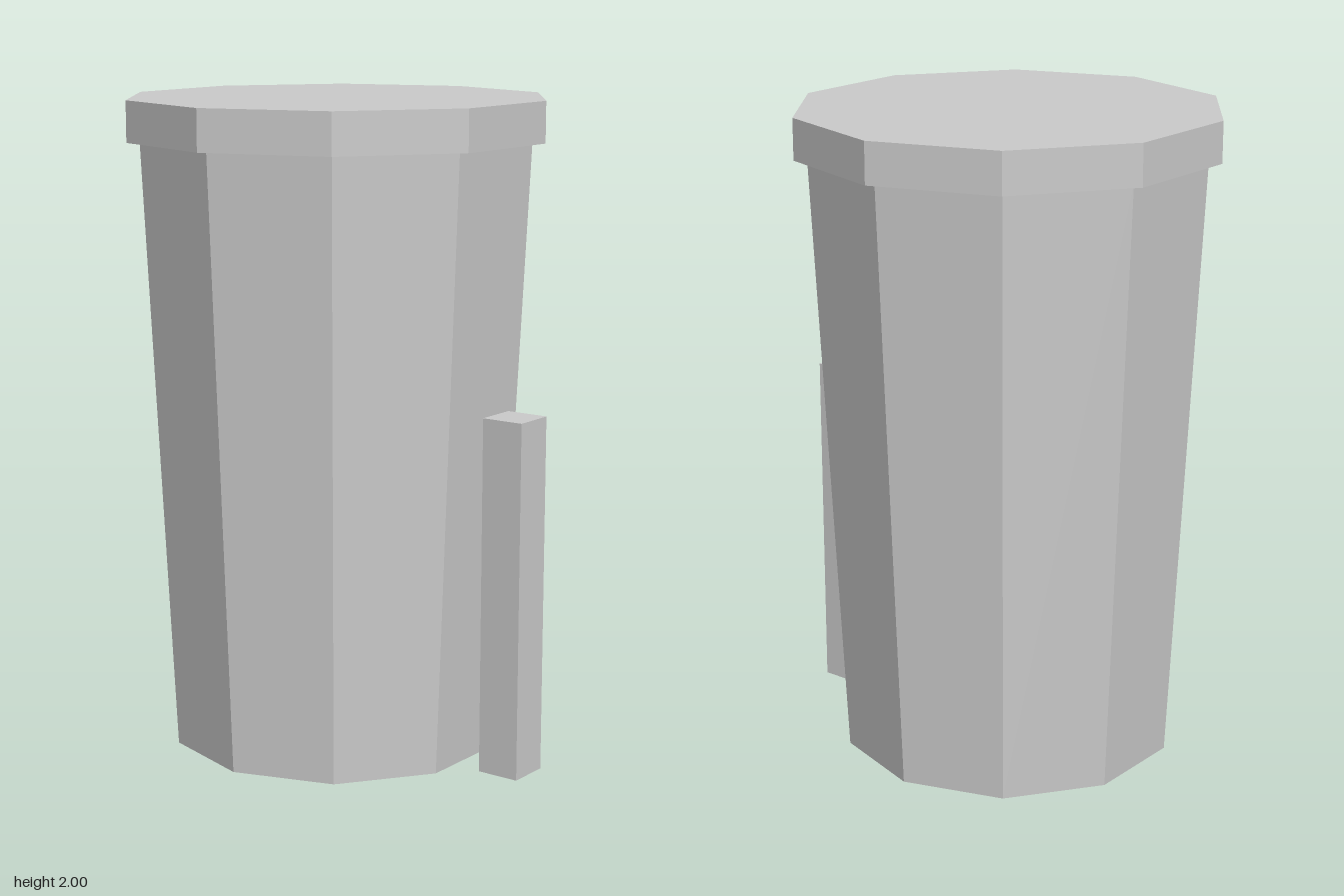
import * as THREE from 'three';

const SIDES = 10;
const CENTER_Z = -0.05;

export function createModel() {
  const group = new THREE.Group();
  const material = new THREE.MeshStandardMaterial({ color: 0xcccccc, flatShading: true });

  const add = (name, geometry, y, z) => {
    const mesh = new THREE.Mesh(geometry, material);
    mesh.name = name;
    mesh.position.set(0, y, z);
    group.add(mesh);
  };

  // Ten-sided drum with a flat side facing front
  const drum = (rTop, rBottom, height) =>
    new THREE.CylinderGeometry(rTop, rBottom, height, SIDES, 1, false, Math.PI / SIDES);

  // Tapered body and overhanging lid
  add('body', drum(0.61, 0.52, 1.875), 1.875 / 2, CENTER_Z);
  add('lid', drum(0.65, 0.65, 0.125), 2 - 0.125 / 2, CENTER_Z);

  // Free-standing square post in front of the body
  add('frontPost', new THREE.BoxGeometry(0.134, 1.09, 0.134), 1.09 / 2, 0.605);

  return group;
}
